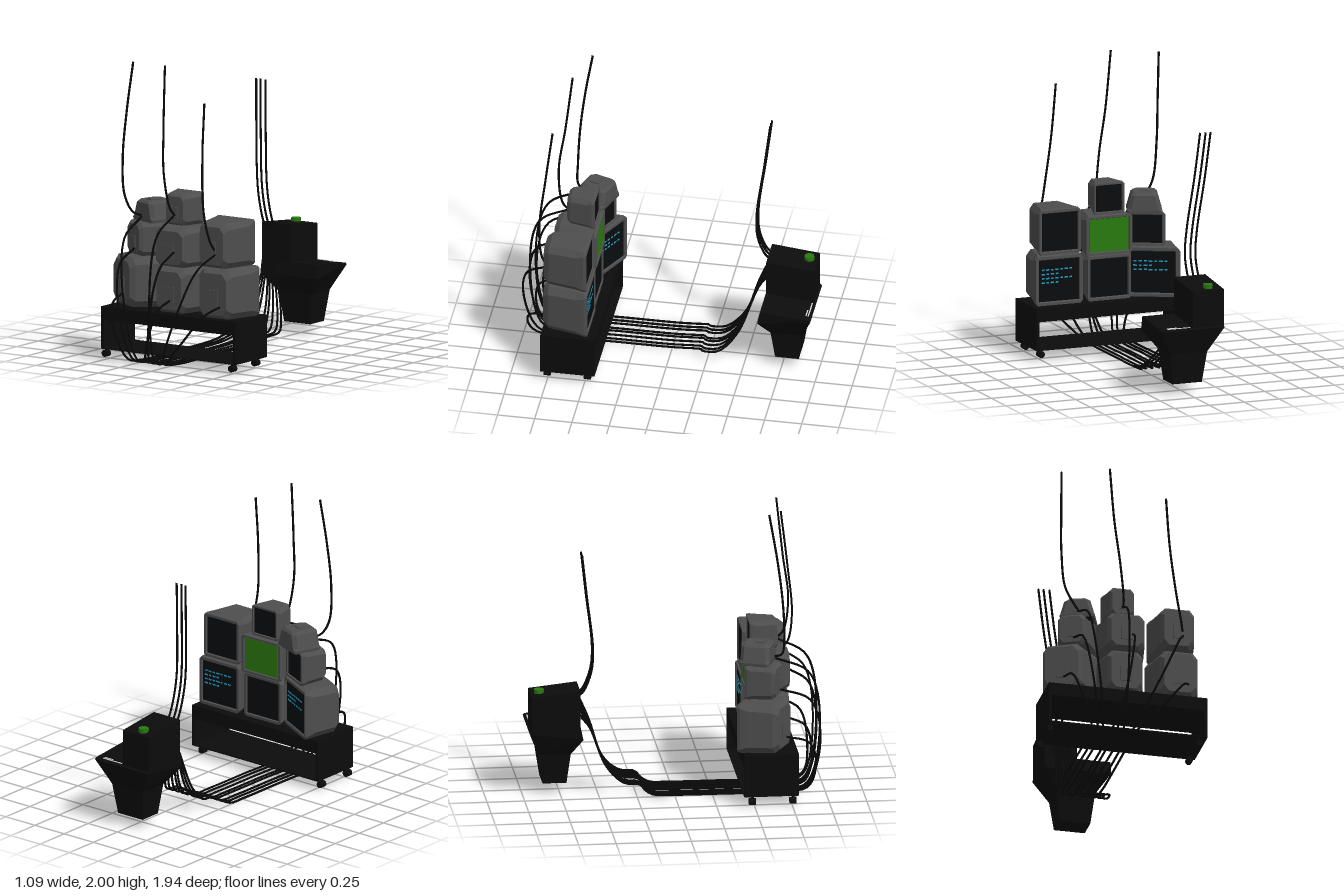
import * as THREE from 'three';

const mat = (name, color, flat = false) => {
  const m = new THREE.MeshStandardMaterial({ color });
  m.name = name;
  m.flatShading = flat;
  return m;
};
const grey = mat('casing grey', 0x4e4e4e, true);
const black = mat('matte black', 0x0c0c0c, true);
const rubber = mat('cable black', 0x080808);
const glass = mat('dark screen', 0x0a0c0e);
const green = mat('signal green', 0x2a7a10);
const cyan = mat('display cyan', 0x1fa0c8);
const white = mat('panel white', 0xd8d8d8);

function add(parent, name, geo, material, x = 0, y = 0, z = 0) {
  const m = new THREE.Mesh(geo, material);
  m.name = name;
  m.position.set(x, y, z);
  parent.add(m);
  return m;
}
const box = (w, h, d) => new THREE.BoxGeometry(w, h, d);

// Skin a list of equal-length rings and cap both ends
function loft(rings) {
  const n = rings[0].length, pos = [], idx = [];
  rings.forEach(r => r.forEach(p => pos.push(...p)));
  for (let k = 0; k < rings.length - 1; k++) {
    for (let i = 0; i < n; i++) {
      const a = k * n + i, b = k * n + (i + 1) % n;
      idx.push(a, b, b + n, a, b + n, a + n);
    }
  }
  const e = (rings.length - 1) * n;
  for (let i = 1; i < n - 1; i++) idx.push(0, i + 1, i, e, e + i, e + i + 1);
  const g = new THREE.BufferGeometry();
  g.setAttribute('position', new THREE.Float32BufferAttribute(pos, 3));
  g.setIndex(idx);
  const flat = g.toNonIndexed();
  flat.computeVertexNormals();
  return flat;
}

// Rectangle with cut corners, counterclockwise seen from +z
function octagon(w, h, cx, cy, z) {
  const a = w / 2, b = h / 2;
  return [[a, -b + cy, z], [a, b - cy, z], [a - cx, b, z], [-a + cx, b, z],
    [-a, b - cy, z], [-a, -b + cy, z], [-a + cx, -b, z], [a - cx, -b, z]];
}

// Tube monitor: screen faces -z at z = 0, tapered casing runs back to z = d
function monitor(parent, { name, x, y, z, w, h, d, yaw = 0, pitch = 0, screen = glass, rows = 0 }) {
  const g = new THREE.Group();
  g.name = name;
  g.position.set(x, y, z);
  g.rotation.set(pitch, yaw, 0, 'YXZ');
  const c = 0.1 * w, v = 0.13 * h;
  add(g, 'casing', loft([
    octagon(w * 0.82, h * 0.82, 0.004, 0.004, 0.014),
    octagon(w * 0.86, h * 0.86, 0.004, 0.004, 0),
    octagon(w * 0.97, h * 0.97, c * 0.4, v * 0.4, 0),
    octagon(w, h, c * 0.6, v * 0.6, 0.02),
    octagon(w * 0.96, h, c, v, 0.25 * d),
    octagon(w * 0.75, h * 0.97, c, v, 0.88 * d),
    octagon(w * 0.62, h * 0.82, c, v, d),
  ]), grey);
  add(g, 'screen', box(w * 0.82, h * 0.82, 0.006), screen, 0, 0, 0.011);
  add(g, 'rearPlate', box(w * 0.24, h * 0.34, 0.008), grey, 0, -h * 0.08, d + 0.003);
  // Abstract rows of lit dashes
  for (let r = 0; r < rows; r++) {
    for (let i = 0; i < 7 - 3 * (r % 2); i++) {
      add(g, 'displayDash', box(w * (0.05 + 0.02 * ((i + r) % 2)), h * 0.028, 0.003), cyan,
        w * (0.33 - i * 0.095), h * (0.22 - r * 0.085), 0.006);
    }
  }
  parent.add(g);
}

function cable(parent, name, points) {
  const curve = new THREE.CatmullRomCurve3(points.map(p => new THREE.Vector3(...p)));
  add(parent, name, new THREE.TubeGeometry(curve, 72, 0.0075, 6), rubber);
}

export function createModel() {
  const root = new THREE.Group();
  root.name = 'monitorStation';

  // Open rolling stand
  const stand = new THREE.Group();
  stand.name = 'stand';
  root.add(stand);
  add(stand, 'standTop', box(1.08, 0.09, 0.365), black, 0, 0.305, 0.613);
  add(stand, 'standShelf', box(1.08, 0.008, 0.365), black, 0, 0.069, 0.613);
  for (const s of [-1, 1]) {
    add(stand, 'standSide', box(0.022, 0.28, 0.365), black, s * 0.529, 0.21, 0.613);
    for (const z of [0.485, 0.755]) {
      const x = s > 0 ? 0.489 : -0.526;
      add(stand, 'caster', new THREE.CylinderGeometry(0.023, 0.023, 0.045, 14).rotateX(Math.PI / 2),
        black, x, 0.031, z);
      add(stand, 'casterStem', box(0.01, 0.025, 0.02), black, x, 0.058, z);
    }
  }

  // Stacked monitors
  const wall = new THREE.Group();
  wall.name = 'monitors';
  root.add(wall);
  [
    { name: 'lowerRightMonitor', x: -0.31, y: 0.52, z: 0.47, w: 0.36, h: 0.34, d: 0.27, yaw: -0.48, rows: 3 },
    { name: 'middleRightMonitor', x: -0.275, y: 0.81, z: 0.5, w: 0.25, h: 0.23, d: 0.2, yaw: -0.45 },
    { name: 'faceDownMonitor', x: -0.28, y: 0.922, z: 0.55, w: 0.235, h: 0.2, d: 0.14, yaw: -0.35, pitch: -Math.PI / 2 },
    { name: 'lowerCentreMonitor', x: -0.01, y: 0.505, z: 0.495, w: 0.32, h: 0.31, d: 0.28 },
    { name: 'middleCentreMonitor', x: -0.005, y: 0.795, z: 0.485, w: 0.34, h: 0.27, d: 0.295, screen: green },
    { name: 'topCentreMonitor', x: -0.015, y: 1.038, z: 0.51, w: 0.22, h: 0.215, d: 0.19 },
    { name: 'lowerLeftMonitor', x: 0.353, y: 0.52, z: 0.485, w: 0.345, h: 0.34, d: 0.305, rows: 4 },
    { name: 'upperLeftMonitor', x: 0.343, y: 0.845, z: 0.495, w: 0.305, h: 0.31, d: 0.295 },
  ].forEach(m => monitor(wall, m));

  // Control podium: tapered pedestal, tall half and low sloping half
  const podium = new THREE.Group();
  podium.name = 'podium';
  root.add(podium);
  const ring = (x0, x1, zf, yf, zb, yb) => [[x1, yf, zf], [x1, yb, zb], [x0, yb, zb], [x0, yf, zf]];
  add(podium, 'pedestal', loft([
    ring(-0.105, 0.105, -0.706, 0.07, -0.865, 0.07),
    ring(-0.13, 0.13, -0.68, 0.275, -0.897, 0.28),
    ring(-0.228, 0.222, -0.606, 0.4, -0.963, 0.45),
    ring(-0.228, 0.222, -0.625, 0.492, -0.95, 0.46),
  ]), black);
  add(podium, 'tallCabinet', loft([
    ring(-0.228, -0.005, -0.625, 0.485, -0.95, 0.455),
    ring(-0.228, -0.005, -0.627, 0.74, -0.95, 0.705),
  ]), black);
  add(podium, 'button', new THREE.CylinderGeometry(0.034, 0.034, 0.03, 8), green, -0.137, 0.722, -0.893);
  for (const [w, z] of [[0.07, -0.925], [0.16, -0.94]]) {
    add(podium, 'panelMark', box(w, 0.004, 0.008), white, 0.17 - w / 2, 0.494 + (z + 0.625) * 0.1, z);
  }

  // Floor cables from the podium to each monitor: floor x, then socket x, y, z
  const cables = new THREE.Group();
  cables.name = 'cables';
  root.add(cables);
  [
    [-0.262, -0.42, 0.44, 0.72], [-0.221, -0.345, 0.75, 0.68], [-0.185, -0.31, 0.955, 0.66],
    [-0.129, 0, 0.44, 0.78], [-0.098, 0.035, 0.77, 0.78], [-0.051, -0.02, 1.0, 0.7],
    [-0.005, 0.375, 0.79, 0.79], [0.03, 0.41, 0.44, 0.79],
  ].forEach(([fx, sx, sy, sz], i) => {
    const sway = i < 3 ? 0.08 : 0.088, dx = sx - fx, px = -0.19 + i * 0.014;
    const bulge = sy < 0.5 ? 0.93 : 0.965;
    cable(cables, 'floorCable', [
      [px, 0.55 + (i % 4) * 0.035, -0.62],
      [px + 0.02, 0.47 + (i % 4) * 0.015, -0.56],
      [px + (fx + sway - px) * 0.65, 0.2, -0.45],
      [fx + sway, 0.08, -0.33],
      [fx + sway, 0.066, -0.225], [fx + sway * 0.4, 0.045, -0.2], [fx, 0.02, -0.15], [fx, 0.012, 0],
      [fx, 0.01, 0.35], [fx, 0.01, 0.72],
      [fx + dx * 0.06, 0.04, 0.88],
      [fx + dx * 0.5, sy * 0.5, bulge],
      [fx + dx * 0.85, sy * 0.88, sz + (bulge - sz) * 0.75],
      [sx, sy, sz],
    ]);
  });

  // Cables rising from the monitors
  cable(cables, 'risingCable', [[-0.31, 0.965, 0.66], [-0.35, 0.99, 0.7], [-0.41, 1.1, 0.71],
    [-0.432, 1.35, 0.7], [-0.425, 1.65, 0.665], [-0.41, 1.98, 0.61]]);
  cable(cables, 'risingCable', [[-0.01, 1.0, 0.7], [-0.02, 1.05, 0.745], [-0.05, 1.28, 0.775],
    [-0.08, 1.6, 0.735], [-0.1, 2, 0.69]]);
  cable(cables, 'risingCable', [[0.375, 0.8, 0.78], [0.355, 0.87, 0.82], [0.315, 1.07, 0.84],
    [0.28, 1.42, 0.805], [0.265, 1.79, 0.76]]);

  // Cables rising from the podium
  [-0.27, -0.235, -0.195].forEach(x => cable(cables, 'podiumCable', [
    [x + 0.08, 0.7, -0.63], [x + 0.08, 0.73, -0.6], [x + 0.08, 0.86, -0.55],
    [x + 0.065, 1.02, -0.54], [x + 0.025, 1.4, -0.585], [x, 1.7, -0.62],
  ]));
  return root;
}
